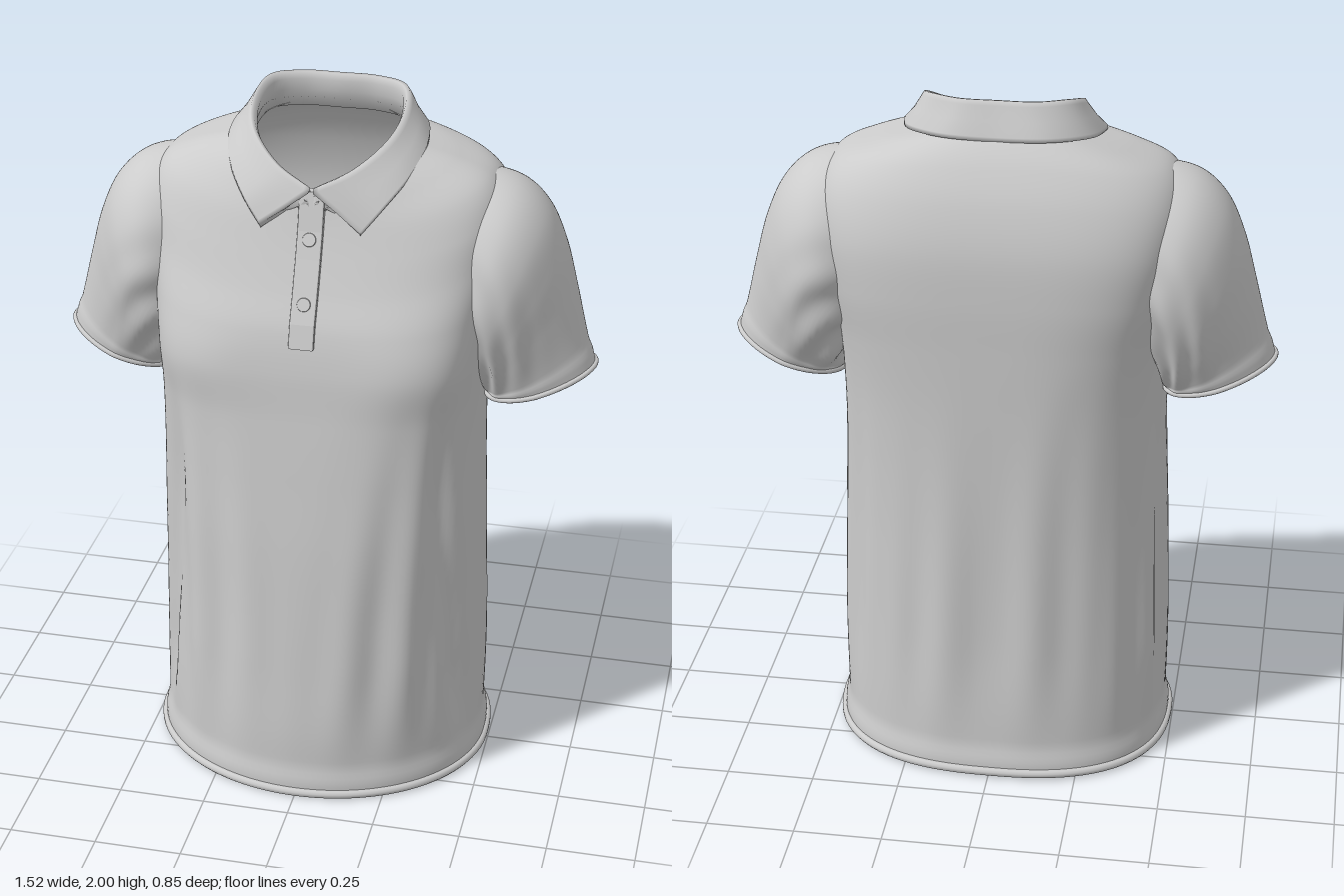
import * as THREE from 'three';

const material = new THREE.MeshStandardMaterial({ color: 0xcccccc, side: THREE.DoubleSide, roughness: 0.9 });
const { smoothstep, lerp } = THREE.MathUtils;

function mesh(name, geometry) {
  const m = new THREE.Mesh(geometry, material);
  m.name = name;
  return m;
}

// Smooth interpolation of a table of section parameters, t from 0 to 1
function sample(table, t) {
  const f = t * (table.length - 1), i = Math.min(Math.floor(f), table.length - 2), u = f - i;
  const row = k => table[Math.max(0, Math.min(table.length - 1, k))];
  return row(i).map((b, k) => {
    const a = row(i - 1)[k], c = row(i + 1)[k], d = row(i + 2)[k];
    return b + 0.5 * u * (c - a + u * (2 * a - 5 * b + 4 * c - d + u * (3 * (b - c) + d - a)));
  });
}

// Surface from closed rows of points
function grid(rows, cols, point) {
  const pos = [], idx = [];
  for (let i = 0; i <= rows; i++) for (let j = 0; j < cols; j++) pos.push(...point(i / rows, j / cols));
  for (let i = 0; i < rows; i++) for (let j = 0; j < cols; j++) {
    const a = i * cols + j, b = i * cols + (j + 1) % cols, c = a + cols, d = b + cols;
    idx.push(a, c, b, b, c, d);
  }
  const g = new THREE.BufferGeometry();
  g.setAttribute('position', new THREE.Float32BufferAttribute(pos, 3));
  g.setIndex(idx);
  g.computeVertexNormals();
  return g;
}

// Torso sections: yFront, ySide, yBack, half width, zFront, zBack, front and back squareness
const torso = [
  [0.018, 0.018, 0.022, 0.474, 0.4, -0.4, 2.0, 2.5],
  [0.2, 0.2, 0.2, 0.476, 0.403, -0.398, 2.0, 2.5],
  [0.4, 0.4, 0.4, 0.472, 0.392, -0.393, 2.1, 2.5],
  [0.6, 0.6, 0.6, 0.466, 0.379, -0.39, 2.2, 2.5],
  [0.8, 0.8, 0.8, 0.46, 0.364, -0.388, 2.4, 2.5],
  [1.0, 1.0, 1.0, 0.453, 0.344, -0.386, 2.7, 2.6],
  [1.18, 1.18, 1.18, 0.45, 0.327, -0.385, 3.1, 2.8],
  [1.32, 1.32, 1.34, 0.452, 0.322, -0.385, 3.6, 3.2],
  [1.43, 1.46, 1.49, 0.468, 0.294, -0.385, 3.2, 3.6],
  [1.53, 1.6, 1.63, 0.49, 0.245, -0.375, 2.8, 3.5],
  [1.62, 1.72, 1.75, 0.495, 0.206, -0.342, 2.6, 3.1],
  [1.69, 1.8, 1.84, 0.455, 0.179, -0.295, 2.4, 2.8],
  [1.74, 1.848, 1.895, 0.355, 0.163, -0.25, 2.1, 2.5],
  [1.785, 1.885, 1.92, 0.225, 0.152, -0.214, 2.0, 2.3],
];

function torsoPoint(t, u) {
  const [yf, ys, yb, hw, zf, zb, nf, nb] = sample(torso, t);
  const a = u * Math.PI * 2, c = Math.cos(a), s = Math.sin(a);
  const e = 2 / (s > 0 ? nf : nb), zc = (zf + zb) / 2;
  const y = ys + ((s > 0 ? yf : yb) - ys) * s * s;
  // Hanging folds, fading out towards the chest and the hem
  const fall = smoothstep(1.35 - y, 0, 0.9) * smoothstep(y, 0.02, 0.45);
  const side = Math.atan2(s, Math.abs(c));
  const crease = side - lerp(0.33, 0.68, y / 1.15);
  let d = fall * 0.006 * (Math.cos(side * 14) + 0.7 * Math.cos(a * 19 + 1 + y));
  d -= 0.03 * smoothstep(1.3 - y, 0, 0.5) * smoothstep(y, 0.03, 0.35) * Math.exp(-Math.pow(crease / 0.13, 2));
  // Thickened hem
  d += 0.012 * (1 - smoothstep(y, 0.04, 0.11));
  // Shallow hollow between the two sides of the chest
  const chest = s > 0 ? -0.01 * Math.exp(-Math.pow((y - 1.33) / 0.12, 2) - Math.pow(c / 0.25, 2)) : 0;
  const x = hw * Math.sign(c) * Math.pow(Math.abs(c), e);
  const z = zc + (s > 0 ? zf - zc : zc - zb) * Math.sign(s) * Math.pow(Math.abs(s), e);
  return [x + d * c, y, z + d * s + chest];
}

// Sleeve sections: top x, top y, bottom x, bottom y, z centre, half depth
const sleeve = [
  [0.33, 1.79, 0.34, 1.36, -0.085, 0.16],
  [0.43, 1.802, 0.37, 1.32, -0.08, 0.205],
  [0.53, 1.777, 0.395, 1.28, -0.076, 0.234],
  [0.605, 1.71, 0.42, 1.24, -0.075, 0.234],
  [0.655, 1.605, 0.437, 1.2, -0.078, 0.214],
  [0.69, 1.48, 0.444, 1.175, -0.078, 0.186],
  [0.72, 1.36, 0.45, 1.158, -0.075, 0.158],
  [0.748, 1.255, 0.456, 1.148, -0.073, 0.138],
];

function sleevePoint(side, t, u) {
  const [tx, ty, bx, by, zc, hz] = sample(sleeve, t);
  const a = u * Math.PI * 2, c = Math.cos(a), s = Math.sin(a);
  // Gathered wrinkles near the underarm, and a thickened cuff
  const gather = 0.045 * Math.sin(Math.PI * t) * smoothstep(-c, -0.7, 0.8) * Math.sin(a * 11 + t * 9);
  const w = 1 + gather + 0.03 * smoothstep(t, 0.9, 0.94);
  // Outer arm narrows to a softer ridge
  const depth = hz * w * s * (1 - 0.14 * Math.max(0, c) * smoothstep(t, 0.2, 0.7));
  return [side * ((tx + bx) / 2 + w * c * (tx - bx) / 2), (ty + by) / 2 + w * c * (ty - by) / 2, zc - side * depth];
}

// Rolled edge following a closed ring of points
function rolledEdge(name, point, radius, count) {
  const pts = Array.from({ length: count }, (_, i) => new THREE.Vector3(...point(i / count)));
  return mesh(name, new THREE.TubeGeometry(new THREE.CatmullRomCurve3(pts, true), 160, radius, 10, true));
}

// Symmetric curve from a half outline running front to back
function mirrored(half) {
  const pts = half.map(p => new THREE.Vector3(...p));
  const other = pts.slice(0, -1).reverse().map(p => new THREE.Vector3(-p.x, p.y, p.z));
  return new THREE.CatmullRomCurve3([...pts, ...other]);
}

function collar() {
  const fold = mirrored([[0.006, 1.797, 0.16], [0.1, 1.842, 0.12], [0.178, 1.905, 0.04], [0.2, 1.955, -0.06],
    [0.178, 1.985, -0.15], [0.1, 1.988, -0.188], [0, 1.988, -0.19]]);
  const edge = mirrored([[0.135, 1.69, 0.18], [0.185, 1.755, 0.15], [0.242, 1.825, 0.07], [0.265, 1.872, -0.035],
    [0.24, 1.893, -0.155], [0.14, 1.902, -0.228], [0, 1.9, -0.235]]);
  const up = new THREE.Vector3(0, 1, 0), centre = new THREE.Vector3(0, 1.9, -0.03);
  return grid(96, 12, (t, u) => {
    const k = Math.max(0, Math.min(1, (t * 96 - 1) / 94));
    const f = fold.getPoint(k), e = edge.getPoint(k);
    const out = f.clone().sub(centre).setY(0).normalize();
    const at = (p, o, y) => p.clone().addScaledVector(out, o).addScaledVector(up, y);
    const mid = f.clone().lerp(e, 0.5);
    // Stand, rounded fold, outer leaf, thick lower edge, underside
    const section = [at(f, 0.012, -0.09), at(f, 0, -0.04), at(f, -0.004, -0.008), at(f, 0.004, 0.01),
      at(f, 0.014, 0.012), at(f, 0.022, 0), at(mid, 0.012, 0.004), at(e, 0.008, 0.012), at(e, 0.008, 0),
      at(e, -0.012, -0.004), at(mid, -0.01, -0.01), at(f, 0.014, -0.03)];
    if (t === 0 || t === 1) section.forEach((p, i) => p.copy(f).lerp(e, [0, 0, 0, 0, 0, 0.1, 0.5, 0.9, 1, 1, 0.5, 0.1][i]));
    return section[Math.round(u * 12) % 12].toArray();
  });
}

// Front centre line of the shirt, y and z
const frontLine = [[1.4, 0.296], [1.46, 0.278], [1.53, 0.245], [1.62, 0.206], [1.69, 0.179], [1.79, 0.152]];

function placket() {
  const shape = new THREE.Shape();
  frontLine.forEach(([y, z], i) => shape[i ? 'lineTo' : 'moveTo'](z + 0.008, y));
  [...frontLine].reverse().forEach(([y, z]) => shape.lineTo(z - 0.012, y));
  const g = new THREE.ExtrudeGeometry(shape, { depth: 0.062, bevelSize: 0.004, bevelThickness: 0.004, bevelSegments: 2 });
  return g.rotateY(-Math.PI / 2).translate(0.031, 0, 0);
}

export function createModel() {
  const model = new THREE.Group();
  model.name = 'poloShirt';

  // Body and hem
  model.add(mesh('body', grid(150, 180, torsoPoint)));
  model.add(rolledEdge('bottomHem', u => torsoPoint(0, u), 0.013, 64));

  // Sleeves with cuffs
  for (const side of [1, -1]) {
    const arm = new THREE.Group();
    arm.name = side > 0 ? 'leftSleeve' : 'rightSleeve';
    arm.add(mesh('sleeve', grid(60, 96, (t, u) => sleevePoint(side, t, u))));
    arm.add(rolledEdge('cuff', u => sleevePoint(side, 1, u), 0.008, 40));
    model.add(arm);
  }

  // Collar, placket and buttons
  model.add(mesh('collar', collar()));
  model.add(mesh('placket', placket()));
  for (const [y, z] of [[1.51, 0.264], [1.67, 0.196]]) {
    const button = mesh('button', new THREE.CylinderGeometry(0.018, 0.022, 0.012, 20));
    button.position.set(0, y, z);
    button.rotation.x = Math.PI / 2 - 0.4;
    model.add(button);
  }
  return model;
}
